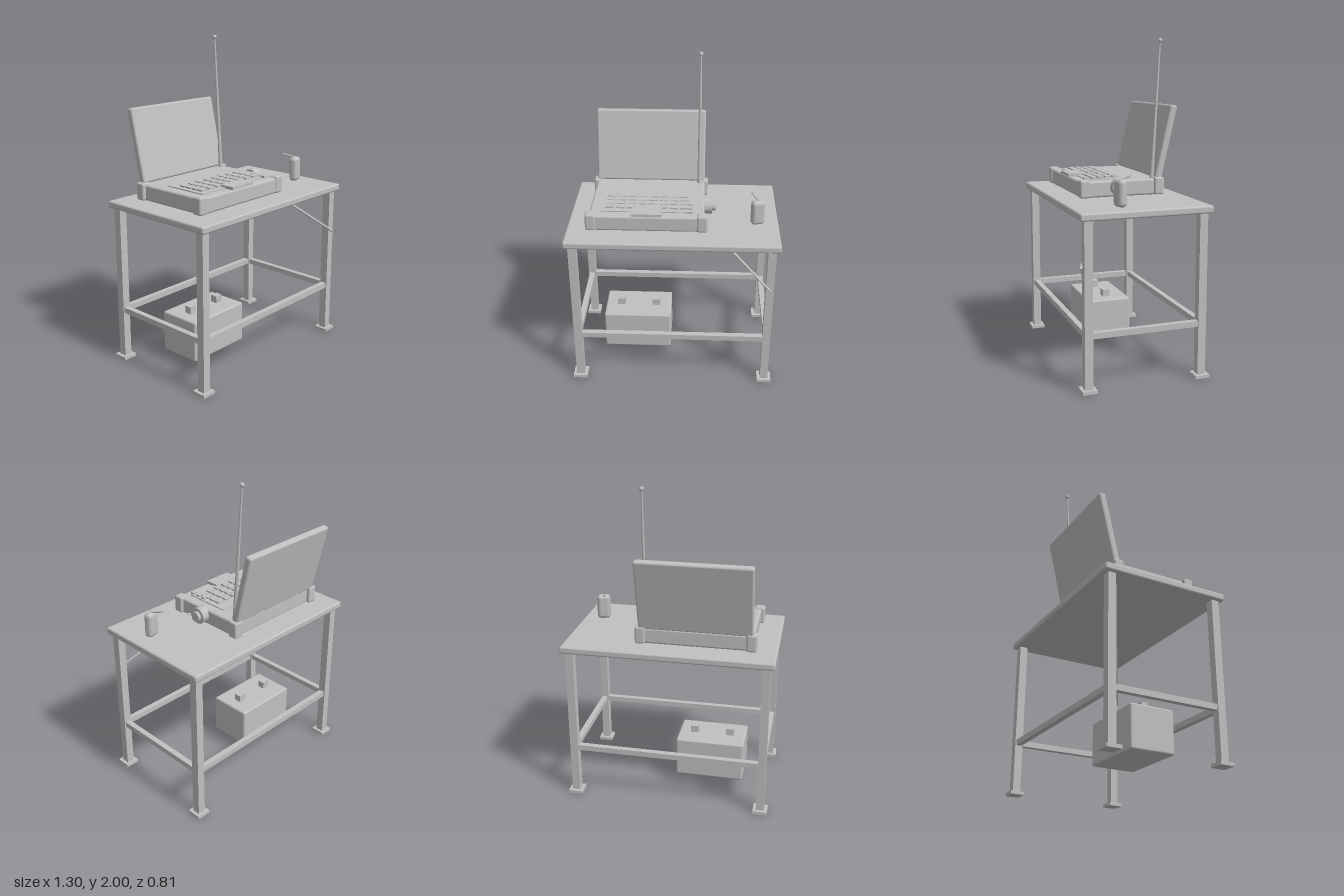
import * as THREE from 'three';
import { RoundedBoxGeometry } from 'three/addons/geometries/RoundedBoxGeometry.js';

export function createModel() {
  const model = new THREE.Group();
  model.name = 'fieldComputerTable';
  const grey = new THREE.MeshStandardMaterial({ color: 0xc0c0c0 });
  grey.name = 'plainGrey';

  // Helpers: every part is placed by its centre.
  const add = (name, geometry, x, y, z, parent = model) => {
    const mesh = new THREE.Mesh(geometry, grey);
    mesh.name = name;
    mesh.position.set(x, y, z);
    parent.add(mesh);
    return mesh;
  };
  const box = (name, w, h, d, x, y, z, parent) =>
    add(name, new THREE.BoxGeometry(w, h, d), x, y, z, parent);
  const rounded = (name, w, h, d, r, x, y, z, parent) =>
    add(name, new RoundedBoxGeometry(w, h, d, 2, r), x, y, z, parent);
  const rod = (name, from, to, r0, r1, parent = model) => {
    const a = new THREE.Vector3(...from), b = new THREE.Vector3(...to);
    const dir = b.clone().sub(a);
    const mid = a.clone().add(b).multiplyScalar(0.5);
    const mesh = add(name, new THREE.CylinderGeometry(r1, r0, dir.length(), 12), mid.x, mid.y, mid.z, parent);
    mesh.quaternion.setFromUnitVectors(new THREE.Vector3(0, 1, 0), dir.normalize());
    return mesh;
  };
  const group = (name) => {
    const g = new THREE.Group();
    g.name = name;
    model.add(g);
    return g;
  };

  // Table
  const table = group('table');
  rounded('tableTop', 1.3, 0.045, 0.805, 0.012, 0, 1.018, 0, table);
  for (const sx of [-1, 1]) {
    for (const sz of [-1, 1]) {
      box('leg', 0.05, 0.99, 0.05, sx * 0.6, 0.505, sz * 0.35, table);
      box('foot', 0.09, 0.02, 0.09, sx * 0.6, 0.01, sz * 0.35, table);
    }
    box('sideRail', 0.035, 0.035, 0.65, sx * 0.6, 0.332, 0, table);
    box('longRail', 1.15, 0.035, 0.035, 0, 0.332, sx * 0.35, table);
  }
  rod('brace', [0.26, 1.0, 0.185], [0.6, 0.72, 0.39], 0.008, 0.008, table);

  // Battery under the table, with two terminals
  const battery = group('battery');
  rounded('batteryCase', 0.44, 0.26, 0.28, 0.012, -0.238, 0.2, 0, battery);
  for (const x of [-0.355, -0.12]) box('terminal', 0.05, 0.05, 0.045, x, 0.35, 0, battery);

  // Computer base with corner bumpers
  const computer = group('computer');
  const cx = -0.158;
  rounded('base', 0.7, 0.1, 0.515, 0.014, cx, 1.095, 0, computer);
  for (const x of [-0.498, 0.18]) {
    for (const z of [-0.246, 0.234]) rounded('bumper', 0.063, 0.108, 0.063, 0.012, x, 1.101, z, computer);
  }

  // Keyboard, side buttons and touch pad
  box('keyboardPanel', 0.572, 0.008, 0.29, cx, 1.147, 0.055, computer);
  for (let row = 0; row < 4; row++) {
    for (let col = 0; col < 8; col++) {
      box('key', 0.051, 0.012, 0.037, -0.388 + col * 0.0653, 1.155, 0.004 + row * 0.047, computer);
    }
  }
  for (let i = 0; i < 3; i++) box('button', 0.027, 0.014, 0.028, 0.103, 1.155, 0.108 + i * 0.046, computer);
  box('touchPad', 0.182, 0.018, 0.095, cx, 1.154, 0.211, computer);

  // Lid leaning back from the hinge
  const lid = rounded('lid', 0.697, 0.46, 0.045, 0.013, cx, 1.37, -0.298, computer);
  lid.rotation.x = -0.225;

  // Tuning knob on the left side
  rod('knob', [0.18, 1.107, 0.022], [0.239, 1.107, 0.022], 0.052, 0.052, computer);
  rod('knobCap', [0.235, 1.107, 0.022], [0.26, 1.107, 0.022], 0.032, 0.032, computer);
  rod('plug', [0.18, 1.06, 0.13], [0.207, 1.06, 0.15], 0.007, 0.007, computer);

  // Telescopic antenna
  const antenna = group('antenna');
  const at = (t) => [0.155 - 0.002 * t, 1.13 + 0.855 * t, -0.213 - 0.05 * t];
  const radii = [0.013, 0.0105, 0.008, 0.0055];
  for (let i = 0; i < 3; i++) {
    rod('antennaSection', at(i / 3), at((i + 1) / 3), radii[i], radii[i + 1], antenna);
  }
  add('antennaTip', new THREE.SphereGeometry(0.014, 16, 10), 0.153, 1.986, -0.263, antenna);

  // Small canister with a lever
  const canister = group('canister');
  rounded('canisterBody', 0.086, 0.16, 0.056, 0.024, 0.518, 1.122, 0.126, canister).rotation.y = 0.25;
  rod('lever', [0.52, 1.198, 0.13], [0.482, 1.218, 0.05], 0.006, 0.006, canister);

  return model;
}
